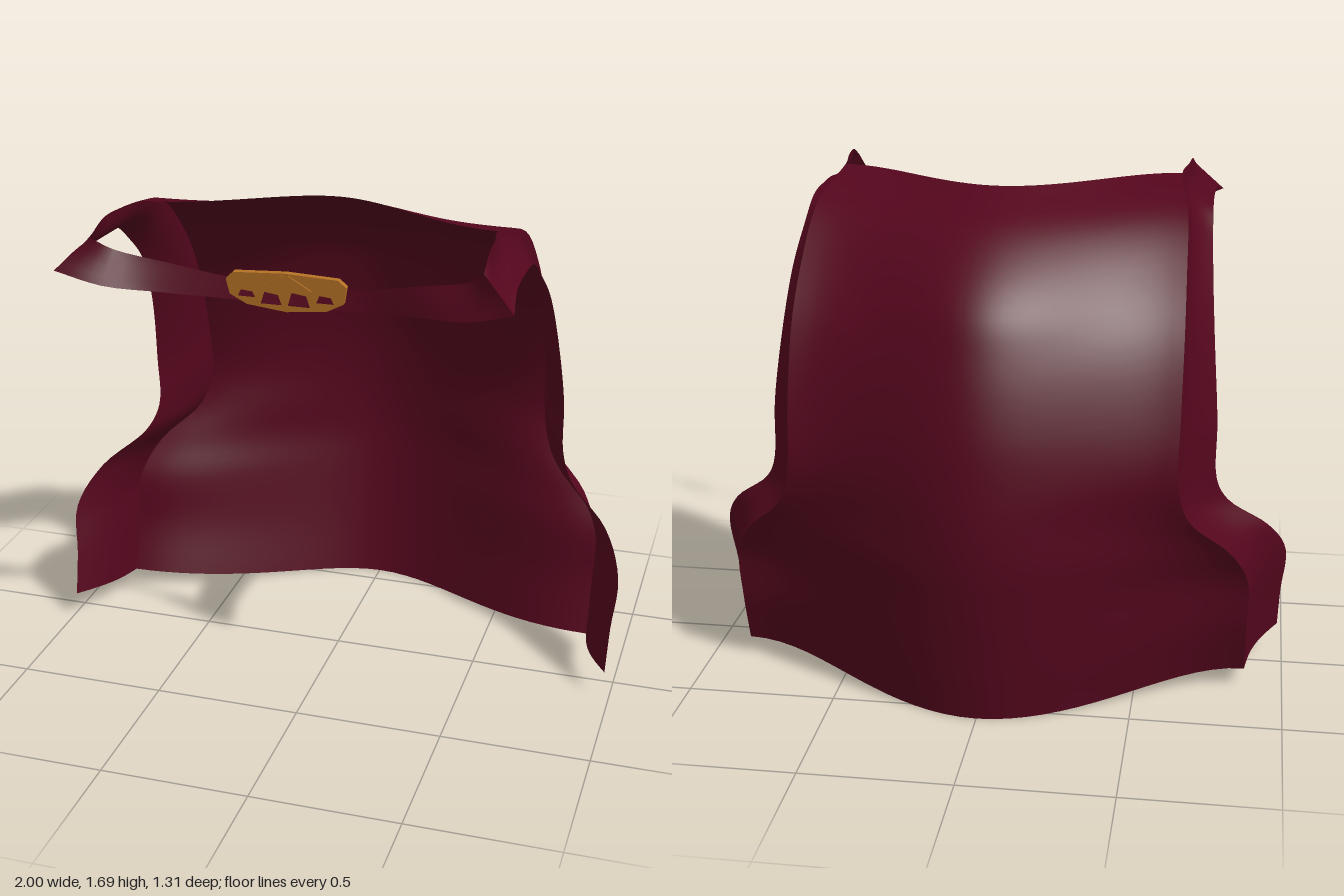
import * as THREE from 'three';

const cloth = new THREE.MeshStandardMaterial({ color: 0x54061d, side: THREE.DoubleSide });
cloth.name = 'wine cloth';
const gold = new THREE.MeshStandardMaterial({ color: 0xb57124 });
gold.name = 'gold';

// Smooth curve through points; row k is reached at t = k / (count - 1)
const curve = (pts) => new THREE.CatmullRomCurve3(pts.map((p) => new THREE.Vector3(...p)), false, 'centripetal');

// Sheet of quads from a rule (u, v) -> Vector3
function sheet(name, rule, nu, nv) {
  const pos = [], idx = [];
  for (let j = 0; j <= nv; j++) {
    for (let i = 0; i <= nu; i++) pos.push(...rule(i / nu, j / nv).toArray());
  }
  for (let j = 0; j < nv; j++) {
    for (let i = 0; i < nu; i++) {
      const a = j * (nu + 1) + i, b = a + 1, c = a + nu + 1, d = c + 1;
      idx.push(a, b, d, a, d, c);
    }
  }
  const geo = new THREE.BufferGeometry();
  geo.setAttribute('position', new THREE.Float32BufferAttribute(pos, 3));
  geo.setIndex(idx);
  geo.computeVertexNormals();
  const mesh = new THREE.Mesh(geo, cloth);
  mesh.name = name;
  return mesh;
}

// Centre line of the back, hem to neck
const spine = curve([
  [0, 0.002, -0.57], [0, 0.2, -0.605], [0, 0.42, -0.64], [0, 0.55, -0.657], [0, 0.68, -0.663], [0, 0.82, -0.657],
  [0, 1.0, -0.635], [0, 1.22, -0.575], [0, 1.38, -0.5], [0, 1.56, -0.28], [0, 1.67, 0],
]);

// Crease between back and side band; the last three rows run forward over the shoulder
const crease = curve([
  [0.87, 0.065, -0.2], [0.87, 0.25, -0.26], [0.87, 0.42, -0.29], [0.81, 0.55, -0.36], [0.67, 0.69, -0.44],
  [0.635, 0.82, -0.47], [0.635, 1.02, -0.44], [0.635, 1.27, -0.35], [0.63, 1.44, -0.22], [0.62, 1.6, -0.02],
  [0.585, 1.68, 0.26], [0.602, 1.69, 0.39], [0.61, 1.69, 0.5], [0.615, 1.655, 0.6],
]);

// Free front edge of the side band
const edge = curve([
  [0.98, 0.1, 0.105], [0.985, 0.25, 0.065], [0.995, 0.42, 0.02], [0.93, 0.55, -0.08], [0.79, 0.67, -0.17],
  [0.75, 0.76, -0.21], [0.745, 0.95, -0.2], [0.725, 1.2, -0.13], [0.71, 1.38, -0.03], [0.7, 1.5, 0.11],
  [0.695, 1.575, 0.23], [0.695, 1.59, 0.4], [0.7, 1.585, 0.53], [0.718, 1.555, 0.65],
]);

// Upper and lower edges of the neck strap, shoulder to centre and on to the other shoulder
const half = {
  top: [[0.615, 1.655, 0.6], [0.56, 1.605, 0.545], [0.4, 1.565, 0.505], [0.22, 1.515, 0.44], [0.1, 1.505, 0.42]],
  low: [[0.718, 1.555, 0.65], [0.58, 1.505, 0.607], [0.42, 1.475, 0.53], [0.24, 1.447, 0.453], [0.1, 1.435, 0.432]],
};
const strapCurve = (pts, y, z) =>
  curve([...pts, [0, y, z], ...pts.slice().reverse().map(([px, py, pz]) => [-px, py, pz])]);

function makeClasp() {
  const clasp = new THREE.Group();
  clasp.name = 'clasp';
  const outline = [[-0.195, 0.03], [-0.17, 0.055], [0, 0.065], [0.17, 0.058], [0.195, 0.035],
    [0.185, -0.02], [0.13, -0.05], [0, -0.065], [-0.13, -0.05], [-0.185, -0.02]];
  const shape = new THREE.Shape(outline.map((p) => new THREE.Vector2(...p)));
  // Row of openings above the lower rim: centre, half width, base, height
  for (const [x, w, y, h] of [[-0.13, 0.028, -0.024, 0.022], [-0.05, 0.034, -0.043, 0.04],
    [0.04, 0.036, -0.043, 0.045], [0.125, 0.028, -0.024, 0.025]]) {
    shape.holes.push(new THREE.Path([[x - w, y], [x - w * 0.6, y + h], [x + w * 0.7, y + h * 0.85], [x + w, y]]
      .map((p) => new THREE.Vector2(...p))));
  }
  const plate = new THREE.Mesh(new THREE.ExtrudeGeometry(shape, { depth: 0.018, bevelEnabled: false }), gold);
  plate.name = 'claspPlate';
  clasp.add(plate);
  // Raised chevron on the plate
  for (const s of [-1, 1]) {
    const rib = new THREE.Mesh(new THREE.BoxGeometry(0.085, 0.007, 0.006), gold);
    rib.name = 'claspRib';
    rib.position.set(s * 0.045, 0.034, 0.019);
    rib.rotation.z = -s * 0.55;
    clasp.add(rib);
  }
  clasp.position.set(-0.033, 1.487, 0.438);
  clasp.rotation.x = 0.1;
  return clasp;
}

export function createModel() {
  const cape = new THREE.Group();
  cape.name = 'cape';

  // Back panel, bulging along the spine
  cape.add(sheet('backPanel', (u, v) => {
    const s = u * 2 - 1, a = Math.abs(s), g = a * a * (3 - 2 * a);
    const p = spine.getPoint(v), q = crease.getPoint(v * 10 / 13);
    return new THREE.Vector3(s * q.x, THREE.MathUtils.lerp(p.y, q.y, g * g), THREE.MathUtils.lerp(p.z, q.z, g));
  }, 32, 50));

  // Side bands that run up from the hem and over the shoulders, hollowed so the edge flares out
  for (const side of [1, -1]) {
    cape.add(sheet(side > 0 ? 'leftBand' : 'rightBand', (u, v) => {
      const p = crease.getPoint(v).lerp(edge.getPoint(v), side > 0 ? u : 1 - u);
      const hollow = Math.sin(Math.PI * u) * 0.022 * Math.min(1, (1 - v) * 10);
      p.x = side * (p.x - hollow);
      p.y -= hollow * THREE.MathUtils.smoothstep(v, 0.6, 0.85);
      return p;
    }, 8, 65));
  }

  // Neck strap
  const top = strapCurve(half.top, 1.5, 0.412), low = strapCurve(half.low, 1.432, 0.428);
  cape.add(sheet('neckStrap', (u, v) => low.getPoint(u).lerp(top.getPoint(u), v), 40, 4));

  cape.add(makeClasp());
  return cape;
}
